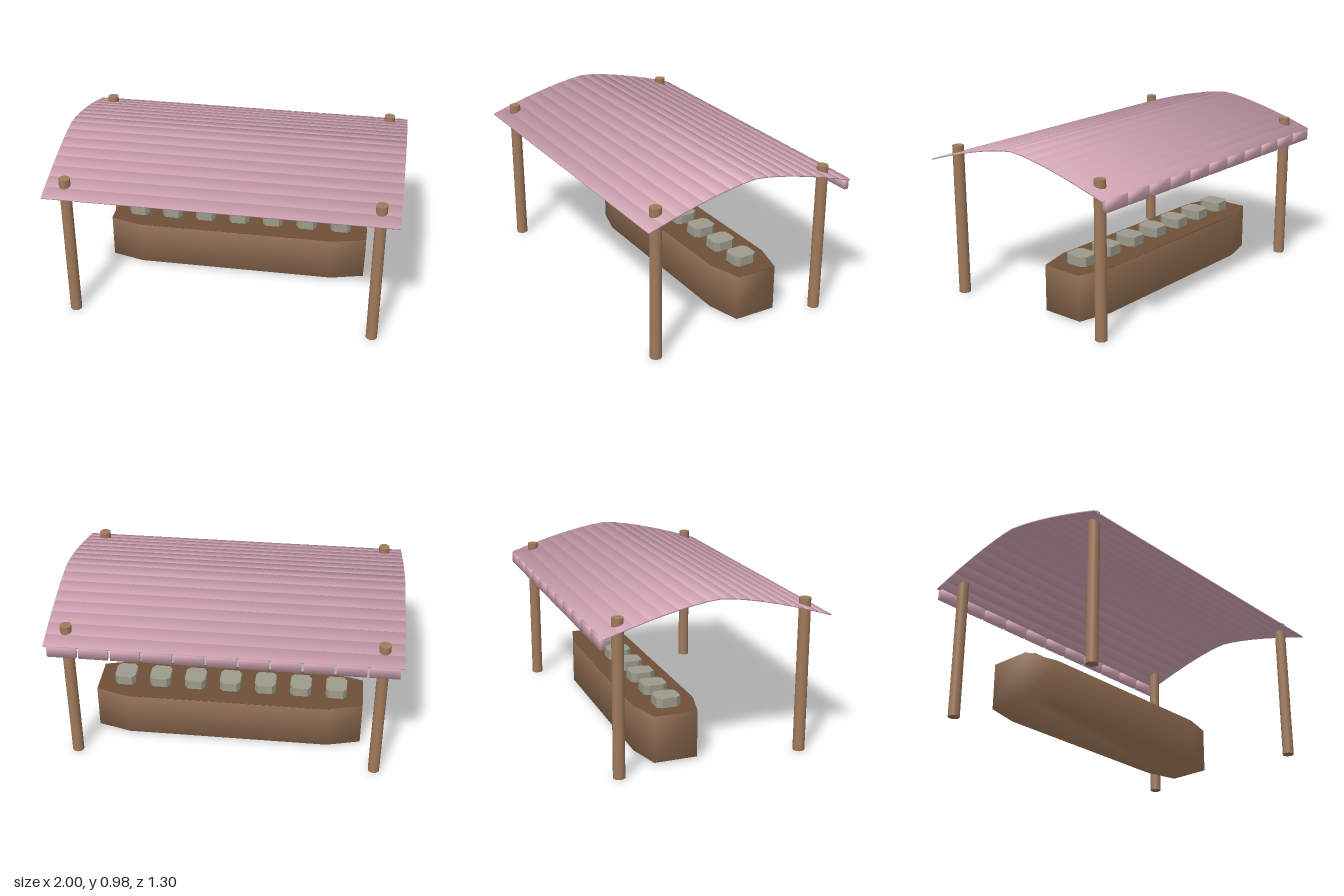
import * as THREE from 'three';

const mat = (name, color) => {
  const m = new THREE.MeshStandardMaterial({ color });
  m.name = name;
  return m;
};

// Box whose corner normals point outward, so it shades softly
function softBox(w, h, d, up = 1) {
  const g = new THREE.BoxGeometry(w, h, d);
  const p = g.attributes.position;
  const n = new THREE.Vector3();
  for (let i = 0; i < p.count; i++) {
    n.set(Math.sign(p.getX(i)), up * Math.sign(p.getY(i)), Math.sign(p.getZ(i))).normalize();
    g.attributes.normal.setXYZ(i, n.x, n.y, n.z);
  }
  return g;
}

// Rectangle outline with cut corners
function cutRect(hx, hz, cx, cz) {
  return [
    [hx, -hz + cz], [hx, hz - cz], [hx - cx, hz], [-hx + cx, hz],
    [-hx, hz - cz], [-hx, -hz + cz], [-hx + cx, -hz], [hx - cx, -hz],
  ];
}

// Walls and floor of the counter, sharing soft normals around the lower rim
function counterBody(outline, y0, y1) {
  const pos = [], nor = [], idx = [], count = outline.length;
  const edgeNormal = (i) => {
    const a = outline[(i + count) % count], b = outline[(i + 1) % count];
    return new THREE.Vector3(b[1] - a[1], 0, a[0] - b[0]).normalize();
  };
  outline.forEach(([x, z], i) => {
    const n = edgeNormal(i - 1).add(edgeNormal(i)).normalize();
    const low = n.clone().setY(-0.65).normalize();
    pos.push(x, y0, z, x, y1, z);
    nor.push(...low.toArray(), ...n.toArray());
    const a = 2 * i, b = 2 * ((i + 1) % count);
    idx.push(a, a + 1, b, a + 1, b + 1, b);
    if (i > 0 && i < count - 1) idx.push(0, a, a + 2);
  });
  const g = new THREE.BufferGeometry();
  g.setAttribute('position', new THREE.Float32BufferAttribute(pos, 3));
  g.setAttribute('normal', new THREE.Float32BufferAttribute(nor, 3));
  g.setIndex(idx);
  return g;
}

// Flat-sided block standing on y = 0
function prism(outline, h) {
  const shape = new THREE.Shape(outline.map(([x, z]) => new THREE.Vector2(x, -z)));
  return new THREE.ExtrudeGeometry(shape, { depth: h, bevelEnabled: false }).rotateX(-Math.PI / 2);
}

export function createModel() {
  const root = new THREE.Group();
  root.name = 'marketStall';
  const wood = mat('wood', 0xa07a5c);
  const darkWood = mat('dark wood', 0x6e5038);
  const pink = mat('pink cloth', 0xd6a8b8);
  const stone = mat('grey stone', 0x9c9b8c);
  wood.side = THREE.DoubleSide;

  const add = (name, geo, material, x = 0, y = 0, z = 0, parent = root) => {
    const m = new THREE.Mesh(geo, material);
    m.name = name;
    m.position.set(x, y, z);
    parent.add(m);
    return m;
  };

  // Four corner posts
  const post = new THREE.CylinderGeometry(0.033, 0.034, 0.9, 14);
  for (const x of [-0.89, 0.89]) {
    add('frontPost', post, wood, x, 0.45, 0.547);
    add('backPost', post, wood, x, 0.45, -0.53);
  }

  // Arched roof made of overlapping slats
  const roof = new THREE.Group();
  roof.name = 'roof';
  root.add(roof);
  const arch = (z) => 0.976 - 0.155 * Math.pow(Math.abs(z) / 0.65, 1.4);
  const slats = 16, zBack = -0.64, step = 1.29 / slats;
  for (let i = 0; i < slats; i++) {
    const z0 = zBack + i * step, z1 = z0 + step;
    const dy = arch(z1) - arch(z0);
    const slat = add('roofSlat', softBox(2, 0.007, Math.hypot(step, dy) + 0.002, 1.3), pink,
      0, (arch(z0) + arch(z1)) / 2, (z0 + z1) / 2, roof);
    slat.rotation.x = -Math.atan2(dy, step);
  }

  // Row of hanging flaps along the back eave
  const flap = softBox(0.166, 0.064, 0.028);
  for (let i = -5; i <= 5; i++) add('backFlap', flap, pink, i * 0.179, 0.794, -0.637);

  // Counter with cut corners and a dark top
  const outline = cutRect(0.805, 0.18, 0.2, 0.053);
  add('counterBody', counterBody(outline, 0.01, 0.285), wood, 0, 0, -0.17);
  add('counterTop', prism(outline, 0.004), darkWood, 0, 0.281, -0.17);

  // Seven blocks on the counter
  const block = prism(cutRect(0.063, 0.071, 0.02, 0.028), 0.057);
  for (let i = -3; i <= 3; i++) add('counterBlock', block, stone, i * 0.2145, 0.284, -0.17);

  return root;
}
